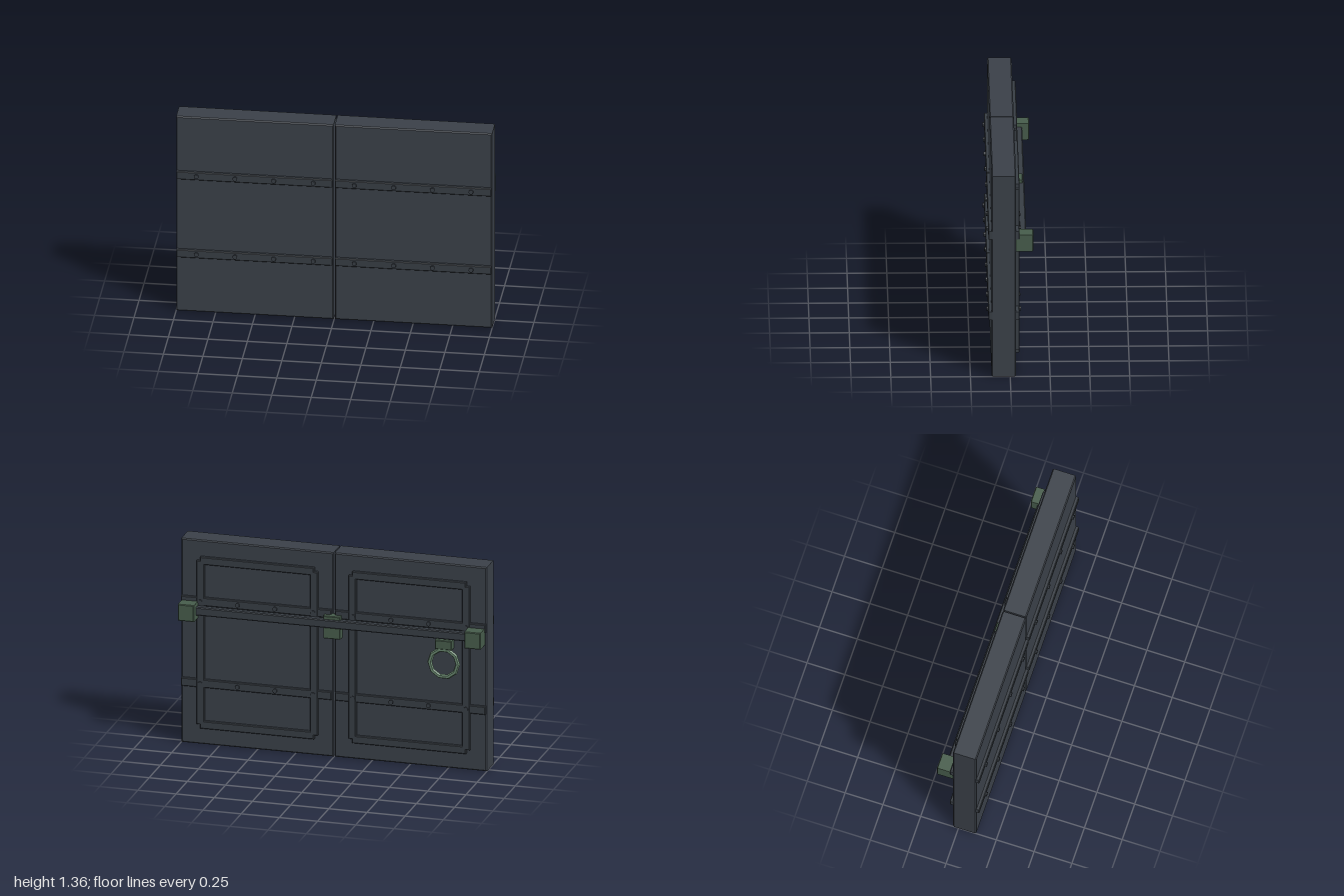
import * as THREE from 'three';

const mat = (name, color) => {
  const m = new THREE.MeshStandardMaterial({ color });
  m.name = name;
  return m;
};

// Box given by its limits, with a small flat chamfer on every edge
function chamferBox(x0, x1, y0, y1, z0, z1, c = 0.004) {
  const s = new THREE.Shape();
  s.moveTo(x0 + c, y0 + c);
  s.lineTo(x1 - c, y0 + c);
  s.lineTo(x1 - c, y1 - c);
  s.lineTo(x0 + c, y1 - c);
  s.closePath();
  const g = new THREE.ExtrudeGeometry(s, {
    depth: z1 - z0 - 2 * c, bevelEnabled: true, bevelSegments: 1, bevelSize: c, bevelThickness: c,
  });
  return g.translate(0, 0, z0 + c);
}

export function createModel() {
  const steel = mat('dark steel', 0x3a4048);
  const iron = mat('iron fittings', 0x373d44);
  const green = mat('green bracket metal', 0x465c4b);
  const paleGreen = mat('pale green ring metal', 0x67856d);

  const model = new THREE.Group();
  model.name = 'doubleDoor';
  const add = (parent, name, geometry, material) => {
    const m = new THREE.Mesh(geometry, material);
    m.name = name;
    parent.add(m);
    return m;
  };

  const front = 0.117, back = -0.037;

  for (const side of [1, -1]) {
    const door = new THREE.Group();
    door.name = side > 0 ? 'leftDoor' : 'rightDoor';
    model.add(door);
    // Box whose x limits are mirrored for the other door
    const box = (name, x0, x1, y0, y1, z0, z1, m, c) =>
      add(door, name, chamferBox(Math.min(side * x0, side * x1), Math.max(side * x0, side * x1), y0, y1, z0, z1, c), m);

    box('doorSlab', 0.004, 1, 0, 1.355, back, front, steel, 0.007);

    // Raised frame on the back, with stepped corners
    for (const [y0, y1] of [[0.11, 0.16], [1.2, 1.25]])
      box('frameRail', 0.125, 0.87, y0, y1, back - 0.023, back + 0.01, iron);
    for (const [x0, x1] of [[0.1, 0.15], [0.845, 0.895]])
      box('frameStile', x0, x1, 0.137, 1.223, back - 0.023, back + 0.01, iron);

    // Riveted straps on both faces
    for (const y of [0.409, 0.953]) {
      box('frontStrap', 0.008, 0.997, y - 0.027, y + 0.027, front - 0.01, front + 0.02, iron);
      box('backStrap', 0.012, 0.997, y - 0.027, y + 0.027, back - 0.021, back + 0.01, iron);
      for (const x of [0.13, 0.38, 0.625, 0.87]) {
        for (const [name, z] of [['frontRivet', front + 0.02], ['backRivet', back - 0.021]]) {
          const g = new THREE.CylinderGeometry(0.015, 0.015, 0.02, 8).toNonIndexed();
          g.rotateY(Math.PI / 8).rotateX(Math.PI / 2);
          g.computeVertexNormals();
          add(door, name, g, iron).position.set(side * x, y, z);
        }
      }
    }

    // Bracket holding the end of the locking bar
    box('endBracket', 0.885, 0.99, 0.843, 0.953, -0.146, back + 0.01, green, 0.005);
  }

  // Locking bar and its central cradle
  add(model, 'lockingBar', chamferBox(-0.9, 0.9, 0.873, 0.928, -0.102, -0.058, 0.006), iron);
  add(model, 'centreBracket', chamferBox(-0.055, 0.055, 0.8, 0.95, -0.092, back + 0.01), green);

  // Pull ring hanging from its mount
  add(model, 'ringMount', chamferBox(-0.785, -0.675, 0.8, 0.86, -0.09, back + 0.01), green);
  const ring = new THREE.TorusGeometry(0.092, 0.015, 6, 10).toNonIndexed();
  ring.computeVertexNormals();
  add(model, 'pullRing', ring, paleGreen).position.set(-0.73, 0.707, -0.075);

  return model;
}
